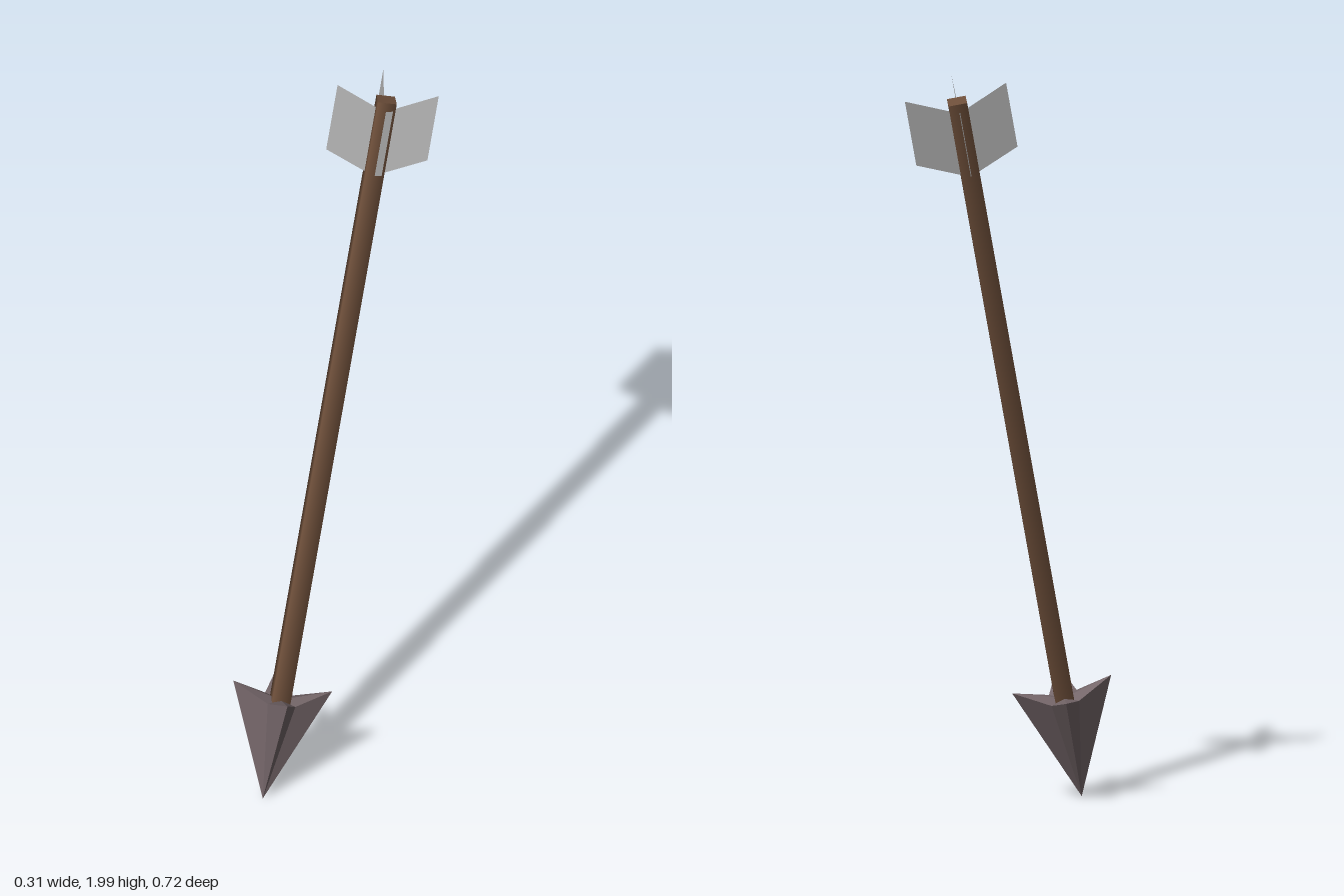
import * as THREE from 'three';

const wood = new THREE.MeshStandardMaterial({ name: 'brownWood', color: 0x6e4f3a });
const metal = new THREE.MeshStandardMaterial({ name: 'darkMetal', color: 0x726467 });
const feather = new THREE.MeshStandardMaterial({ name: 'greyFeather', color: 0xb0b0b0, side: THREE.DoubleSide });

// Point at radius r, quarter-turn angle a and height y along the arrow
const polar = (r, a, y) => new THREE.Vector3(r * Math.cos(a), y, r * Math.sin(a));

// Faceted geometry from a list of triangle corners
function facets(points) {
  const geometry = new THREE.BufferGeometry().setFromPoints(points);
  geometry.computeVertexNormals();
  return geometry;
}

function addMesh(parent, name, geometry, material) {
  const mesh = new THREE.Mesh(geometry, material);
  mesh.name = name;
  parent.add(mesh);
  return mesh;
}

export function createModel() {
  const model = new THREE.Group();
  model.name = 'arrow';

  // Arrow frame: tip at the origin, shaft along local +y
  const arrow = new THREE.Group();
  arrow.name = 'tiltedArrow';
  const axis = new THREE.Vector3(0.089, 1.935, -0.585).normalize();
  const side = new THREE.Vector3(0.118, -0.0242, -0.062);
  side.addScaledVector(axis, -side.dot(axis)).normalize();
  const third = new THREE.Vector3().crossVectors(side, axis);
  arrow.quaternion.setFromRotationMatrix(new THREE.Matrix4().makeBasis(side, axis, third));
  arrow.position.set(-0.055, 0.01, 0.345);
  model.add(arrow);

  // Square shaft with softened shading
  const bottom = 0.27, top = 2.023;
  const shaft = new THREE.CylinderGeometry(0.035, 0.035, top - bottom, 4, 1, false, Math.PI / 4);
  shaft.translate(0, (top + bottom) / 2, 0);
  addMesh(arrow, 'shaft', shaft, wood);

  // Four-pointed star head with barbs swept back
  const tip = new THREE.Vector3(0, 0, 0);
  const hub = new THREE.Vector3(0, 0.286, 0);
  const corners = [];
  for (let i = 0; i < 8; i++) {
    const a = i * Math.PI / 4;
    corners.push(i % 2 ? polar(0.052, a, 0.286) : polar(0.132, a, 0.326));
  }
  const triangles = [];
  corners.forEach((p, i) => {
    const q = corners[(i + 1) % 8];
    triangles.push(tip, p, q, hub, q, p);
  });
  addMesh(arrow, 'arrowhead', facets(triangles), metal);

  // Four swept fletching fins
  for (let i = 0; i < 4; i++) {
    const a = i * Math.PI / 2;
    const p = [polar(0.022, a, 1.812), polar(0.135, a, 1.863), polar(0.135, a, 2.049), polar(0.022, a, 1.997)];
    addMesh(arrow, 'fletching' + (i + 1), facets([p[0], p[1], p[2], p[0], p[2], p[3]]), feather);
  }
  return model;
}
